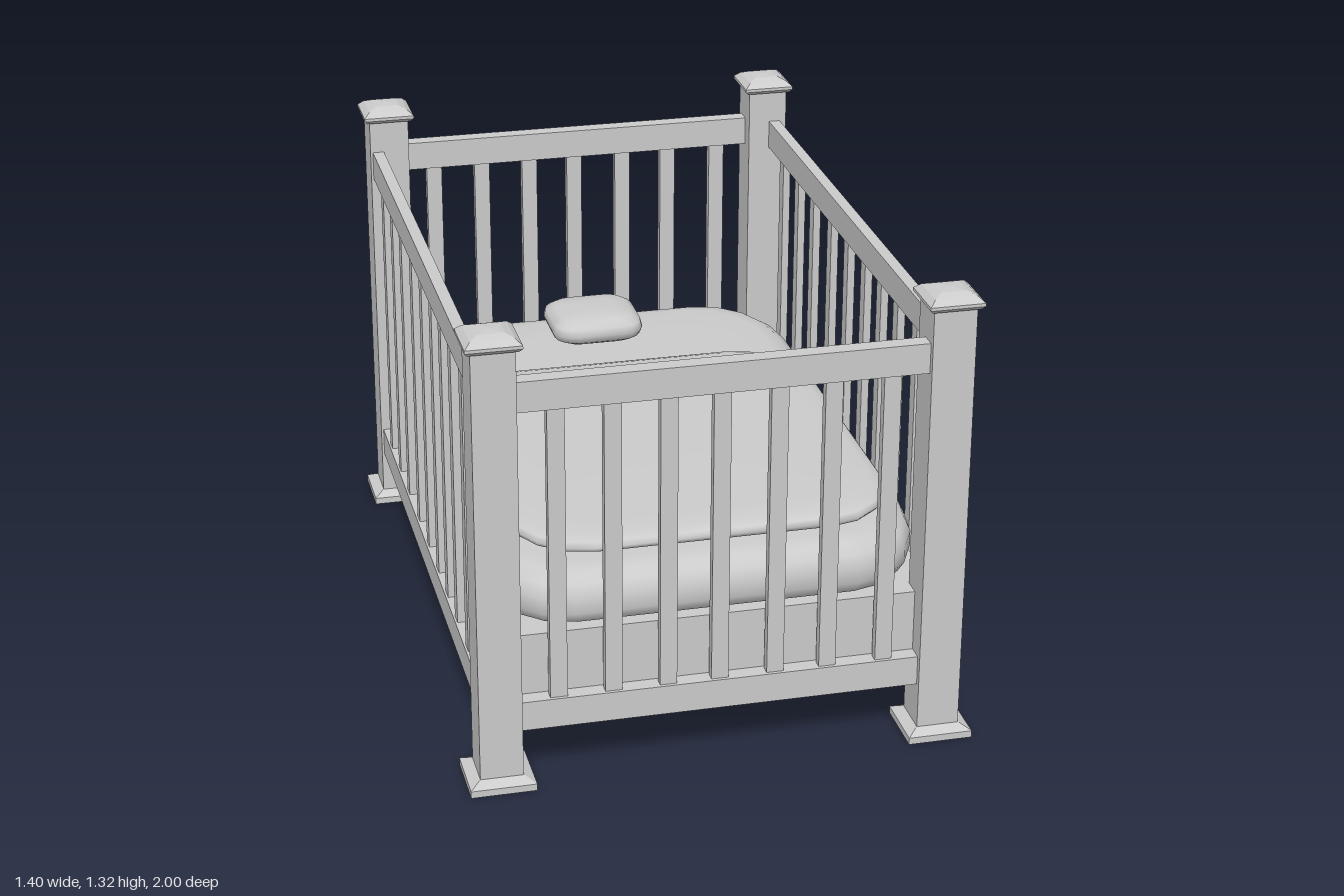
import * as THREE from 'three';

const smooth = new THREE.MeshStandardMaterial({ color: 0xcccccc });
const flat = new THREE.MeshStandardMaterial({ color: 0xcccccc, flatShading: true });

function box(parent, name, w, h, d, x, y, z) {
  const mesh = new THREE.Mesh(new THREE.BoxGeometry(w, h, d), flat);
  mesh.name = name;
  mesh.position.set(x, y, z);
  parent.add(mesh);
}

// Square turned shape from [half width, height] pairs, bottom to top
function squareTurned(parent, name, profile) {
  const pts = profile.map(([r, y]) => new THREE.Vector2(r * Math.SQRT2, y));
  const mesh = new THREE.Mesh(new THREE.LatheGeometry(pts, 4, Math.PI / 4), flat);
  mesh.name = name;
  parent.add(mesh);
}

// Soft slab: rounded-rectangle loops, each inset and raised by the profile
function cushion(name, halfX, halfZ, cornerX, cornerZ, profile) {
  const steps = 4, n = 4 * (steps + 1), pos = [], index = [];
  const signs = [[1, 1], [-1, 1], [-1, -1], [1, -1]];
  for (const [inset, y] of profile) {
    for (let c = 0; c < 4; c++) {
      for (let s = 0; s <= steps; s++) {
        const a = (c + s / steps) * Math.PI / 2;
        const x = signs[c][0] * (halfX - cornerX) + Math.cos(a) * cornerX;
        const z = signs[c][1] * (halfZ - cornerZ) + Math.sin(a) * cornerZ;
        pos.push(x * (1 - inset / halfX), y, z * (1 - inset / halfZ));
      }
    }
  }
  for (let r = 0; r < profile.length - 1; r++) {
    for (let i = 0; i < n; i++) {
      const a = r * n + i, b = r * n + (i + 1) % n;
      index.push(a, a + n, b, b, a + n, b + n);
    }
  }
  // Close bottom and top with fans
  const centre = pos.length / 3, top = (profile.length - 1) * n;
  pos.push(0, profile[0][1], 0, 0, profile[profile.length - 1][1], 0);
  for (let i = 0; i < n; i++) {
    const j = (i + 1) % n;
    index.push(centre, i, j, centre + 1, top + j, top + i);
  }
  const geo = new THREE.BufferGeometry();
  geo.setAttribute('position', new THREE.Float32BufferAttribute(pos, 3));
  geo.setIndex(index);
  geo.computeVertexNormals();
  const mesh = new THREE.Mesh(geo, smooth);
  mesh.name = name;
  return mesh;
}

export function createModel() {
  const crib = new THREE.Group();
  crib.name = 'crib';

  // Corner posts with bevelled feet and domed caps
  for (const [x, z] of [[-0.61, 0.908], [0.61, 0.908], [-0.592, -0.905], [0.605, -0.912]]) {
    const post = new THREE.Group();
    post.name = 'cornerPost';
    post.position.set(x, 0, z);
    box(post, 'postShaft', 0.118, 1.26, 0.118, 0, 0.645, 0);
    squareTurned(post, 'postFoot', [[0, 0], [0.09, 0], [0.09, 0.02], [0.062, 0.035], [0, 0.035]]);
    squareTurned(post, 'postCap', [[0, 1.27], [0.066, 1.27], [0.075, 1.28], [0.075, 1.289],
      [0.058, 1.304], [0.036, 1.313], [0, 1.316]]);
    crib.add(post);
  }

  // End railings, front and back
  const endSlats = [-0.446, -0.296, -0.146, -0.004, 0.15, 0.296, 0.455];
  for (const side of [1, -1]) {
    const end = new THREE.Group();
    end.name = side > 0 ? 'frontRailing' : 'backRailing';
    const z = side * 0.926;
    box(end, 'topRail', 1.18, 0.085, 0.047, 0, 1.1325, z);
    box(end, 'bottomRail', 1.18, 0.085, 0.047, 0, 0.2025, z);
    for (const x of endSlats) box(end, 'slat', 0.047, 0.87, 0.027, x, 0.667, z);
    crib.add(end);
  }

  // Long railings, left and right
  const sideSlats = [0.747, 0.62, 0.45, 0.297, 0.144, -0.024, -0.195, -0.382, -0.548, -0.719];
  for (const side of [1, -1]) {
    const rail = new THREE.Group();
    rail.name = side > 0 ? 'leftRailing' : 'rightRailing';
    const x = side * 0.627;
    box(rail, 'topRail', 0.034, 0.085, 1.8, x, 1.1325, 0);
    box(rail, 'bottomRail', 0.034, 0.085, 1.8, x, 0.2025, 0);
    for (const z of sideSlats) box(rail, 'slat', 0.022, 0.87, 0.042, x, 0.667, z);
    crib.add(rail);
  }

  // Solid base under the mattress
  box(crib, 'base', 1.222, 0.262, 1.806, 0, 0.291, 0);

  // Bedding
  crib.add(cushion('mattress', 0.612, 0.9, 0.22, 0.3, [
    [0.05, 0.421], [0.015, 0.435], [0, 0.465], [0, 0.51], [0.015, 0.545],
    [0.045, 0.568], [0.09, 0.578], [0.25, 0.582]]));

  const quilt = cushion('quilt', 0.54, 0.588, 0.21, 0.25, [
    [0.12, 0.598], [0.04, 0.602], [0.01, 0.612], [0, 0.626], [0.01, 0.64],
    [0.04, 0.65], [0.12, 0.655]]);
  quilt.position.set(0.005, 0, 0.258);
  crib.add(quilt);

  const pillow = cushion('pillow', 0.142, 0.135, 0.07, 0.07, [
    [0.075, 0.587], [0.03, 0.593], [0.008, 0.606], [0, 0.628], [0.006, 0.65],
    [0.03, 0.666], [0.075, 0.673]]);
  pillow.position.set(0.003, 0, -0.685);
  crib.add(pillow);

  return crib;
}
